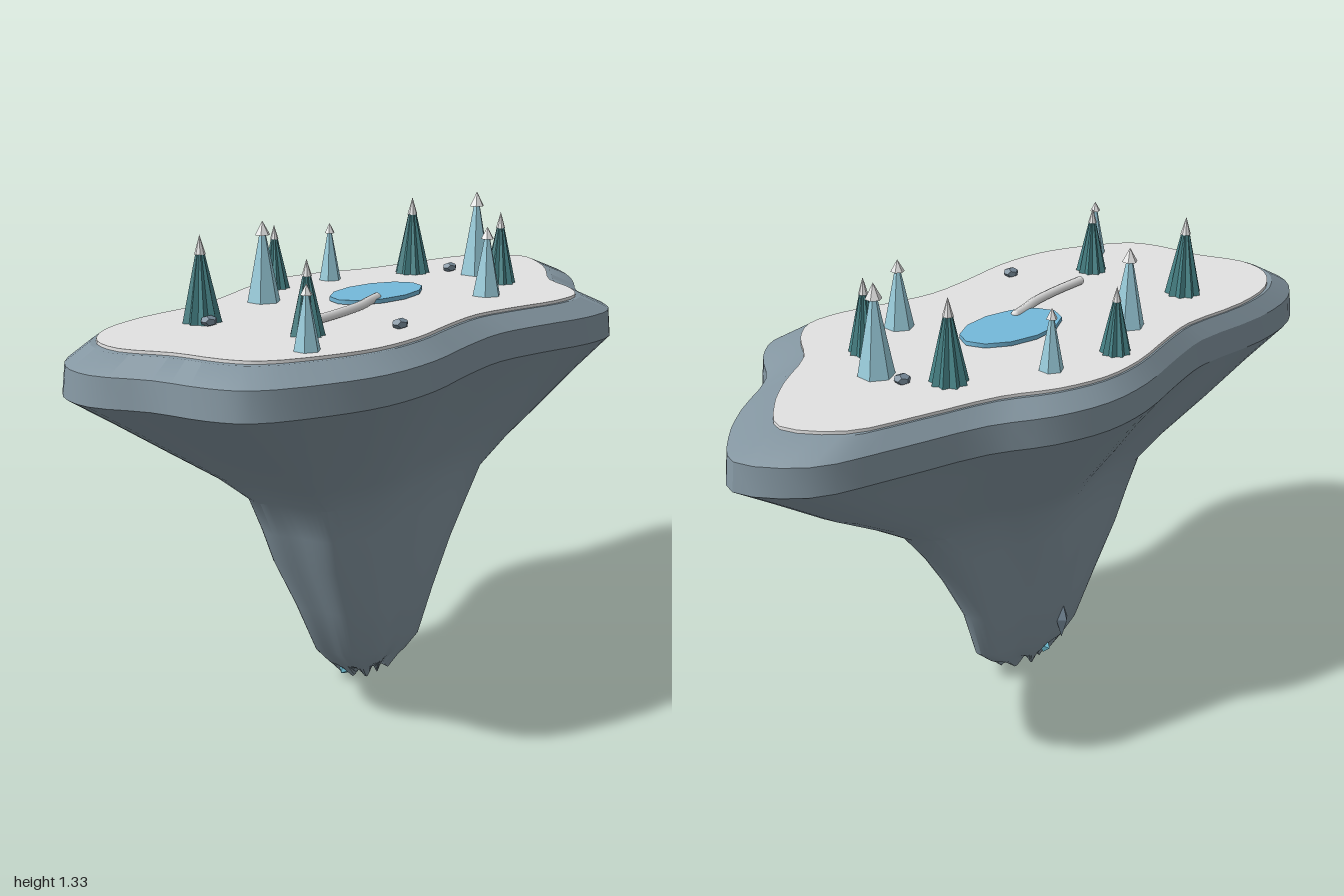
import * as THREE from 'three';
import { toCreasedNormals } from 'three/addons/utils/BufferGeometryUtils.js';

const mat = (name, color, extra = {}) => Object.assign(new THREE.MeshStandardMaterial({ color, ...extra }), { name });

// Island outline seen from above (x, z), from the right tip round the back
const OUTLINE = [
  [1, -0.1], [0.89, -0.25], [0.69, -0.31], [0.43, -0.37], [0.27, -0.445], [0.11, -0.48], [-0.05, -0.465],
  [-0.26, -0.4], [-0.4, -0.365], [-0.66, -0.365], [-0.85, -0.32], [-0.97, -0.22], [-1, -0.1],
  [-0.945, 0.055], [-0.92, 0.215], [-0.875, 0.31], [-0.715, 0.405], [-0.555, 0.457], [-0.37, 0.46],
  [-0.18, 0.425], [0, 0.405], [0.165, 0.435], [0.33, 0.475], [0.46, 0.468], [0.555, 0.39],
  [0.645, 0.255], [0.81, 0.135], [0.93, 0.02],
];
const SEG = 84;

// Lofts scaled copies of the outline; each level is [y, scaleX, scaleZ, centreX, centreZ, jag]
function loft(levels, crease) {
  const curve = new THREE.CatmullRomCurve3(OUTLINE.map(([x, z]) => new THREE.Vector3(x, 0, z)), true);
  const pos = [], idx = [];
  for (const [y, sx, sz, cx, cz, jag = 0] of levels) {
    for (let i = 0; i < SEG; i++) {
      const p = curve.getPoint(i / SEG);
      pos.push(p.x * sx + cx, y + jag * Math.sin(i * 0.75), p.z * sz + cz);
    }
  }
  for (let j = 0; j < levels.length - 1; j++) {
    for (let i = 0; i < SEG; i++) {
      const a = j * SEG + i, b = j * SEG + (i + 1) % SEG;
      idx.push(a, b, a + SEG, b, b + SEG, a + SEG);
    }
  }
  // Close both ends with fans
  const first = levels[0], last = levels[levels.length - 1], n = levels.length * SEG, top = n - SEG;
  pos.push(first[3], first[0] + 0.012, first[4], last[3], last[0], last[4]);
  for (let i = 0; i < SEG; i++) {
    const k = (i + 1) % SEG;
    idx.push(n, k, i, n + 1, top + i, top + k);
  }
  const g = new THREE.BufferGeometry();
  g.setAttribute('position', new THREE.Float32BufferAttribute(pos, 3));
  g.setIndex(idx);
  return toCreasedNormals(g, crease);
}

// Cone with alternating ridges and grooves
function pleatedCone(rTop, rBottom, h, folds) {
  const g = new THREE.CylinderGeometry(rTop, rBottom, h, folds * 2, 1);
  const p = g.attributes.position;
  for (let i = 0; i < p.count; i++) {
    const x = p.getX(i), z = p.getZ(i);
    const step = Math.round(Math.atan2(x, z) / Math.PI * folds);
    const k = step % 2 ? 0.78 : 1;
    p.setXYZ(i, x * k, p.getY(i), z * k);
  }
  return g;
}

export function createModel() {
  const rock = mat('rock', 0x8496a1);
  const snow = mat('snow', 0xe2e2e2);
  const snowFlat = mat('snowTip', 0xe2e2e2, { flatShading: true });
  const water = mat('water', 0x74b9da);
  const frost = mat('frostFoliage', 0x9acddc, { flatShading: true });
  const pine = mat('pineFoliage', 0x478488, { flatShading: true });
  const stone = mat('boulderStone', 0x748796, { flatShading: true });
  const crystal = mat('crystal', 0x72c4da, { flatShading: true });

  const model = new THREE.Group();
  model.name = 'floatingIsland';
  const add = (name, geo, material, x = 0, y = 0, z = 0, parent = model) => {
    const m = new THREE.Mesh(geo, material);
    m.name = name;
    m.position.set(x, y, z);
    parent.add(m);
    return m;
  };

  // Rock body: flared stalk, upright rim and bevelled top
  add('islandRock', loft([
    [0.014, 0.095, 0.11, -0.057, 0, 0.014],
    [0.05, 0.145, 0.165, -0.053, 0],
    [0.1, 0.196, 0.22, -0.049, 0.003],
    [0.25, 0.253, 0.3, -0.057, 0.005],
    [0.4, 0.335, 0.365, -0.055, 0.007],
    [0.5, 0.387, 0.41, -0.04, 0.008],
    [0.6, 0.45, 0.45, -0.022, 0.008],
    [0.68, 0.56, 0.555, -0.01, 0.004],
    [0.78, 0.72, 0.71, 0, 0],
    [0.88, 0.87, 0.86, 0, 0],
    [0.965, 1, 1, 0, 0],
    [1.04, 0.99, 0.99, 0, 0],
    [1.08, 0.895, 0.89, -0.018, -0.01],
  ], 0.5), rock);

  // Snow sheet on the plateau
  add('snowField', loft([
    [1.07, 0.875, 0.875, -0.02, -0.012],
    [1.088, 0.873, 0.872, -0.02, -0.012],
  ], 0.5), snow);

  // Frozen pond and the raised stream leading to it
  const pond = add('pond', new THREE.CylinderGeometry(1, 1, 0.012, 12), water, 0.02, 1.096, -0.03);
  pond.scale.set(0.168, 1, 0.1);
  const path = new THREE.CatmullRomCurve3([
    [-0.38, 0.095], [-0.28, 0.085], [-0.17, 0.065], [-0.1, 0.04], [-0.05, 0.025],
  ].map(([x, z]) => new THREE.Vector3(x, 1.101, z)));
  add('stream', new THREE.TubeGeometry(path, 20, 0.013, 8), snow);
  for (const t of [0, 1]) {
    const p = path.getPoint(t);
    add('streamEnd', new THREE.SphereGeometry(0.013, 8, 6), snow, p.x, p.y, p.z);
  }

  // Trees: [x, z, base radius, top height]
  const ground = 1.085;
  const plant = (name, x, z) => {
    const g = new THREE.Group();
    g.name = name;
    g.position.set(x, ground, z);
    model.add(g);
    return g;
  };
  for (const [x, z, r, top] of [
    [-0.235, -0.225, 0.048, 1.31], [0.14, -0.3, 0.034, 1.255], [0.485, -0.015, 0.05, 1.335],
    [0.22, 0.205, 0.043, 1.28], [-0.63, 0.27, 0.035, 1.25],
  ]) {
    const tree = plant('frostTree', x, z), h = top - ground, cap = h * 0.17;
    add('foliage', new THREE.CylinderGeometry(r * 0.2, r, h - cap, 6), frost, 0, (h - cap) / 2, 0, tree);
    add('snowCap', new THREE.ConeGeometry(r * 0.45, cap, 6), snowFlat, 0, h - cap / 2, 0, tree);
  }
  for (const [x, z, r, top] of [
    [-0.545, -0.16, 0.053, 1.315], [-0.5, 0.16, 0.046, 1.28], [-0.065, -0.335, 0.043, 1.27],
    [0.385, -0.18, 0.053, 1.315], [0.405, 0.125, 0.047, 1.295],
  ]) {
    const tree = plant('pineTree', x, z), h = top - ground, cap = h * 0.22;
    add('foliage', pleatedCone(r * 0.24, r, h - cap, 9), pine, 0, (h - cap) / 2, 0, tree);
    add('snowCap', new THREE.ConeGeometry(r * 0.28, cap, 8), snowFlat, 0, h - cap / 2, 0, tree);
  }

  // Boulders on the snow
  for (const [x, z] of [[-0.565, -0.115], [0.475, -0.105], [-0.29, 0.29]]) {
    add('boulder', new THREE.DodecahedronGeometry(0.023), stone, x, 1.1, z).scale.y = 0.65;
  }

  // Rock shard and small crystals near the foot
  add('rockShard', new THREE.OctahedronGeometry(0.022), stone, -0.14, 0.13, -0.085).scale.y = 3;
  for (const [x, y, z] of [[-0.125, 0.035, 0.04], [-0.1, 0.035, -0.055], [-0.155, 0.022, -0.01]]) {
    add('crystal', new THREE.OctahedronGeometry(0.02), crystal, x, y, z).rotation.z = 0.5;
  }
  return model;
}
